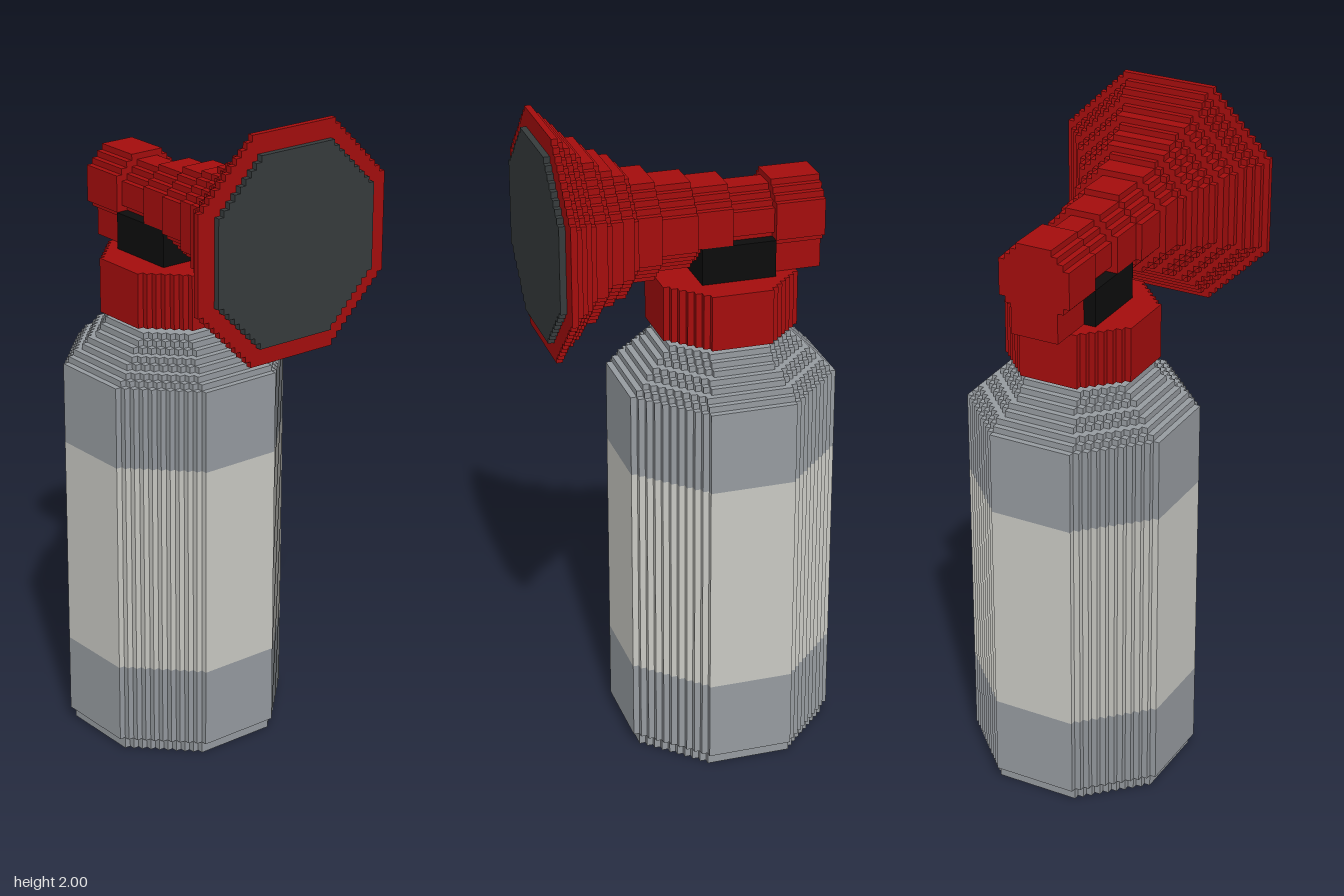
import * as THREE from 'three';
import { mergeGeometries } from 'three/addons/utils/BufferGeometryUtils.js';

// All dimensions below are in whole cells; the model is 108 cells tall.
const CELL = 2 / 108;
const CAN_Z = -6.5; // axis of the canister
const HORN_Y = 90;  // axis of the horn

const mat = (name, color) => {
  const m = new THREE.MeshStandardMaterial({ color });
  m.name = name;
  return m;
};

// Octagon of half width h whose diagonals are one-cell stairs
function steppedOctagon(h) {
  const flat = Math.round(0.414 * h + 0.4);
  const quarter = [[h, flat]];
  for (let i = 1; i <= h - flat; i++) {
    quarter.push([h - i, flat + i - 1], [h - i, flat + i]);
  }
  const points = [];
  for (let q = 0; q < 4; q++) {
    const c = [1, 0, -1, 0][q], s = [0, 1, 0, -1][q];
    for (const [x, y] of quarter) points.push(new THREE.Vector2(x * c - y * s, x * s + y * c));
  }
  return new THREE.Shape(points);
}

// Stack of octagonal layers along z: [start, end, half width]
function stack(layers) {
  return mergeGeometries(layers.map(([start, end, h]) =>
    new THREE.ExtrudeGeometry(steppedOctagon(h), { depth: end - start, bevelEnabled: false })
      .translate(0, 0, start)));
}

const upright = (layers) => stack(layers).rotateX(-Math.PI / 2).translate(0, 0, CAN_Z);
const forward = (layers) => stack(layers).translate(0, HORN_Y, 0);

function block(halfX, y0, y1, z0, z1) {
  return new THREE.BoxGeometry(halfX * 2, y1 - y0, z1 - z0)
    .translate(0, (y0 + y1) / 2, (z0 + z1) / 2);
}

export function createModel() {
  const grey = mat('canister grey', 0x969ba0);
  const cream = mat('label off-white', 0xc9c9c3);
  const red = mat('horn red', 0xa40d0d);
  const dark = mat('mouth charcoal', 0x363b3c);
  const black = mat('valve black', 0x0c0c0c);

  const model = new THREE.Group();
  model.name = 'airHorn';
  const add = (name, geometry, material) => {
    geometry.scale(CELL, CELL, CELL);
    const mesh = new THREE.Mesh(geometry, material);
    mesh.name = name;
    model.add(mesh);
  };

  // Canister with a flush label band
  add('canisterBase', upright([[0, 2, 16], [2, 15.2, 17]]), grey);
  add('canisterLabel', upright([[15.2, 50.5, 17]]), cream);
  add('canisterTop', upright([[50.5, 64, 17]]), grey);

  // Shoulder narrows by one cell per layer up to the neck
  const shoulder = [];
  for (let i = 0; i < 7; i++) shoulder.push([64 + i, 65 + i, 16 - i]);
  shoulder.push([71, 72, 7]);
  add('canisterShoulder', upright(shoulder), grey);

  // Cap and valve
  add('cap', upright([[72, 81, 11]]), red);
  add('valve', block(6, 81, 87, -13.5, -1.5), black);

  // Rear end of the horn with its foot
  add('hornRear', forward([[-21.5, -13.5, 6]]), red);
  add('hornRearFoot', block(4, 81, 88, -21.5, -13.5), red);

  // Barrel flaring into the bell
  const flare = [[-13.5, 5], [-6.5, 6], [-0.5, 7], [5.5, 8], [9.5, 9], [10.5, 10], [12.5, 11],
    [14.5, 12], [15.5, 13], [17.5, 14], [18.5, 15], [19.5, 16], [20.5, 17], [21.5, 18]];
  add('hornBell', forward(flare.map(([z, h], i) => [z, flare[i + 1]?.[0] ?? 22.5, h])), red);

  // Dark plate in the mouth
  add('hornMouth', forward([[22.5, 23.5, 15]]), dark);

  return model;
}
